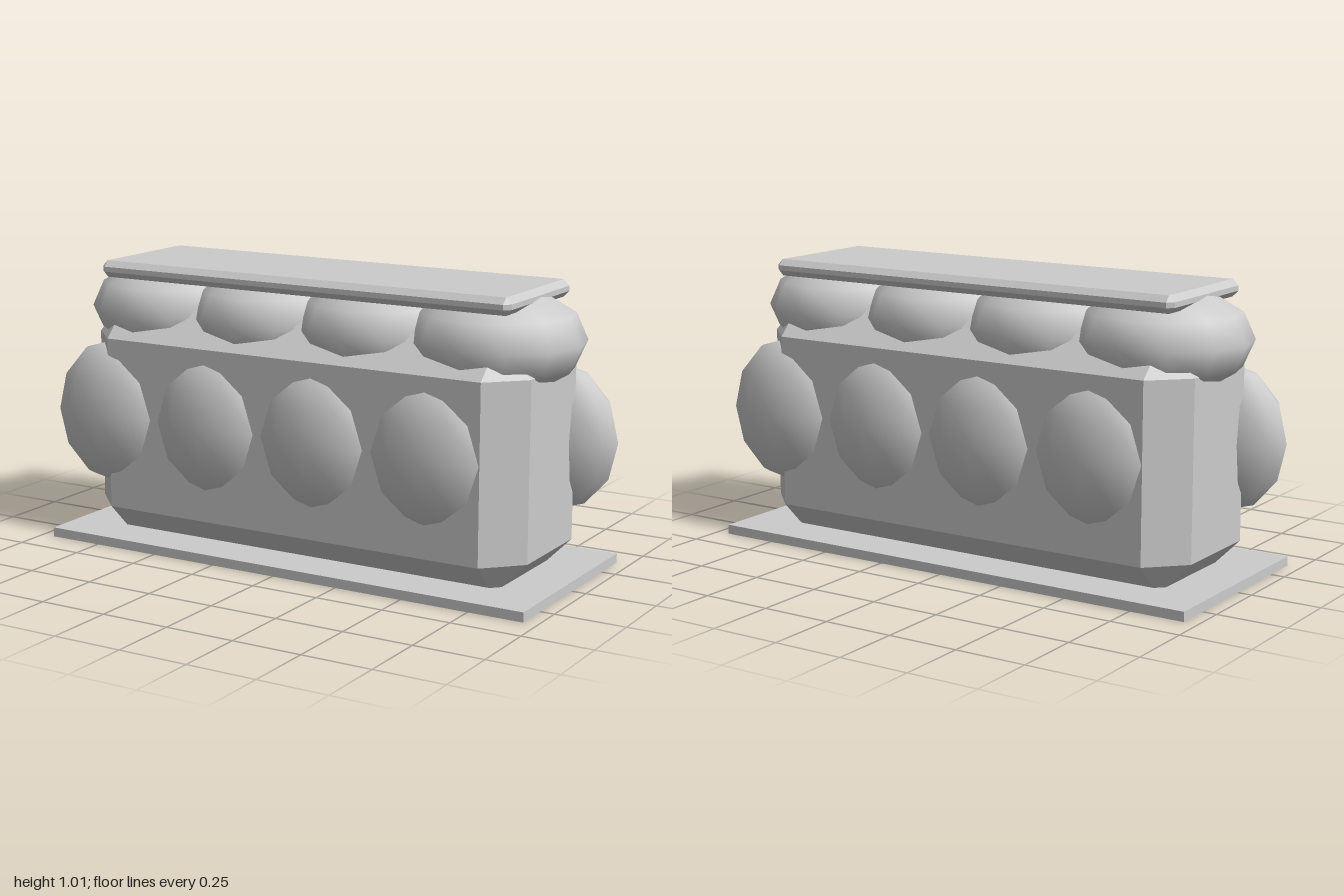
import * as THREE from 'three';
import { ConvexGeometry } from 'three/addons/geometries/ConvexGeometry.js';

// Box with half sizes hx, hy, hz and all edges chamfered by c
function chamferBox(hx, hy, hz, c) {
  const points = [];
  for (const x of [-1, 1]) for (const y of [-1, 1]) for (const z of [-1, 1]) {
    points.push(
      new THREE.Vector3(x * hx, y * (hy - c), z * (hz - c)),
      new THREE.Vector3(x * (hx - c), y * hy, z * (hz - c)),
      new THREE.Vector3(x * (hx - c), y * (hy - c), z * hz)
    );
  }
  return new ConvexGeometry(points);
}

export function createModel() {
  const model = new THREE.Group();
  const gray = new THREE.MeshStandardMaterial({ color: 0xcccccc });
  gray.name = 'light gray';

  function add(name, geometry, x, y, z) {
    const mesh = new THREE.Mesh(geometry, gray);
    mesh.name = name;
    mesh.position.set(x, y, z);
    model.add(mesh);
    return mesh;
  }

  // Ground slab, chamfered block and lid
  add('basePlate', new THREE.BoxGeometry(1.9, 0.034, 0.756), 0, 0.017, 0);
  add('body', chamferBox(0.865, 0.431, 0.297, 0.121), 0, 0.435, 0);
  add('lid', chamferBox(0.812, 0.03, 0.243, 0.021), 0, 0.984, 0);

  // Coarse smooth-shaded ellipsoids; side rows are staggered front to back
  const ball = new THREE.SphereGeometry(1, 12, 6);
  for (let i = 0; i < 4; i++) {
    const x = -0.765 + i * 0.435;
    add('frontLobe', ball, x, 0.466, 0.237).scale.set(0.235, 0.262, 0.118);
    add('backLobe', ball, -x, 0.466, -0.237).scale.set(0.235, 0.262, 0.118);
    add('topLobe', ball, -0.6525 + i * 0.435, 0.831, 0).scale.set(0.307, 0.184, 0.296);
  }
  return model;
}
